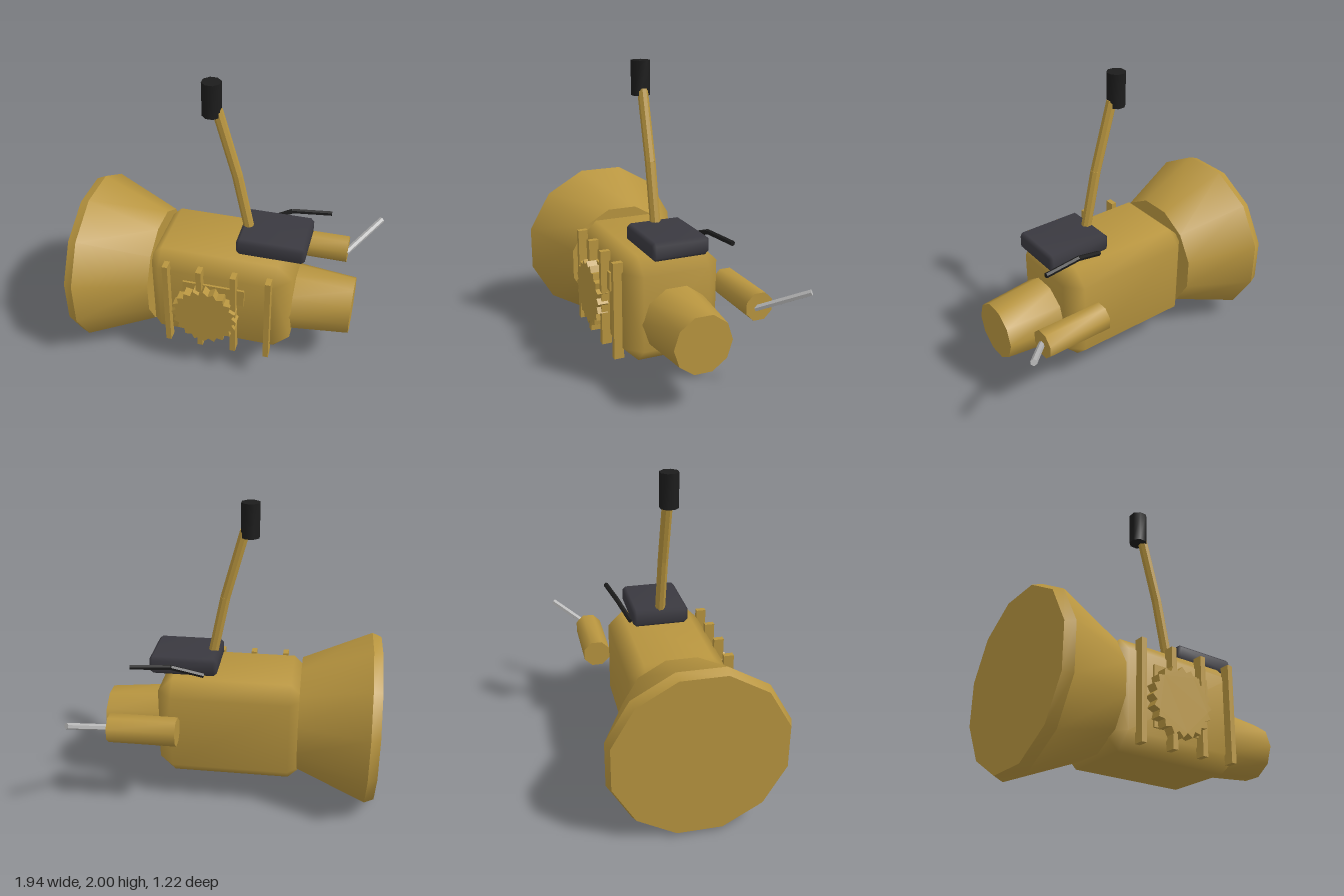
import * as THREE from 'three';
import { mergeVertices, toCreasedNormals } from 'three/addons/utils/BufferGeometryUtils.js';
import { ConvexGeometry } from 'three/addons/geometries/ConvexGeometry.js';

const material = (name, color) => new THREE.MeshStandardMaterial({ name, color });

export function createModel() {
  const group = new THREE.Group();
  const brass = material('brass', 0xb8953f);
  const charcoal = material('charcoal', 0x3a3940);
  const black = material('black', 0x1c1c1c);
  const steel = material('steel', 0xb4b4b4);
  const axisZ = 0.053; // centre line of the gearbox

  const add = (name, geometry, mat, x = 0, y = 0, z = 0) => {
    const mesh = new THREE.Mesh(geometry, mat);
    mesh.name = name;
    mesh.position.set(x, y, z);
    group.add(mesh);
    return mesh;
  };

  // Box with a 45 degree chamfer on every edge and softly blended normals
  const chamferBox = (w, h, d, c) => {
    const points = [];
    for (const sx of [-1, 1]) for (const sy of [-1, 1]) for (const sz of [-1, 1])
      for (let face = 0; face < 3; face++) {
        const cut = [c, c, c];
        cut[face] = 0;
        points.push(new THREE.Vector3(
          sx * (w / 2 - cut[0]), sy * (h / 2 - cut[1]), sz * (d / 2 - cut[2])));
      }
    const geometry = new ConvexGeometry(points);
    geometry.deleteAttribute('normal');
    const merged = mergeVertices(geometry);
    merged.computeVertexNormals();
    return merged;
  };

  // Closed turned part along x; profile rows are [x, radius]
  const turned = (profile, sides, phase, crease) => {
    const first = profile[0], last = profile[profile.length - 1];
    const points = [[first[0], 0], ...profile, [last[0], 0]]
      .map(([x, r]) => new THREE.Vector2(r, x));
    const geometry = new THREE.LatheGeometry(points, sides, phase, Math.PI * 2);
    geometry.rotateZ(-Math.PI / 2);
    return toCreasedNormals(geometry, crease);
  };

  // Straight rods joining a row of points
  const rods = (name, points, radius, sides, mat) => {
    for (let i = 0; i < points.length - 1; i++) {
      const a = new THREE.Vector3(...points[i]);
      const b = new THREE.Vector3(...points[i + 1]);
      const dir = b.clone().sub(a);
      const geometry = toCreasedNormals(
        new THREE.CylinderGeometry(radius, radius, dir.length(), sides, 1, false, Math.PI / sides), 0.5);
      const mesh = add(name, geometry, mat, ...a.add(b).multiplyScalar(0.5).toArray());
      mesh.quaternion.setFromUnitVectors(new THREE.Vector3(0, 1, 0), dir.normalize());
    }
  };

  // Main housing, bell and tail
  add('gearboxBody', chamferBox(0.97, 0.70, 0.64, 0.1), brass, -0.015, 0.53, 0.05);
  add('bellHousing', turned([[-0.97, 0.55], [-0.91, 0.575], [-0.46, 0.385]], 12, Math.PI / 12, 0.6),
    brass, 0, 0.557, axisZ);
  add('tailHousing', turned([[0.42, 0.23], [0.85, 0.191]], 10, 0, 0.7), brass, 0, 0.465, axisZ);

  // Ribs on the front
  for (const x of [-0.333, -0.11, 0.115, 0.34])
    add('rib', new THREE.BoxGeometry(0.036, 0.64, 0.065), brass, x, 0.53, 0.3925);

  // Gear cover and the mounting pads behind it
  add('coverPlate', new THREE.BoxGeometry(0.33, 0.39, 0.03), brass, -0.065, 0.525, 0.37);
  add('coverPad', new THREE.BoxGeometry(0.1, 0.125, 0.03), brass, 0.13, 0.6575, 0.37);
  const teeth = 20;
  const gear = new THREE.Shape();
  for (let i = 0; i < teeth * 2; i++) {
    const a = (i * Math.PI) / teeth;
    const r = i % 2 ? 0.19 : 0.22;
    gear[i ? 'lineTo' : 'moveTo'](r * Math.cos(a), r * Math.sin(a));
  }
  gear.closePath();
  add('gearCover', new THREE.ExtrudeGeometry(gear, { depth: 0.07, bevelEnabled: false }),
    brass, -0.073, 0.5, 0.383);

  // Shifter box, lever and knob
  add('shifterBox', chamferBox(0.445, 0.12, 0.375, 0.022), charcoal, 0.308, 0.945, 0.048);
  rods('shiftLever', [[0.145, 0.92, 0.05], [0.05, 1.375, 0.05], [-0.075, 1.82, 0.05]], 0.034, 8, brass);
  add('shiftKnob', toCreasedNormals(
    new THREE.CylinderGeometry(0.061, 0.061, 0.22, 8, 1, false, Math.PI / 8), 0.85),
    black, -0.108, 1.89, 0.05);

  // Cable behind the shifter box
  rods('cable', [[0.17, 0.9, -0.145], [0.37, 0.975, -0.205], [0.63, 0.977, -0.24]], 0.017, 6, black);

  // Side cylinder with its push rod
  add('sideCylinder', turned([[0.31, 0.095], [0.755, 0.095]], 8, Math.PI / 8, 0.85), brass, 0, 0.595, -0.366);
  rods('pushRod', [[0.745, 0.583, -0.345], [0.955, 0.727, -0.598]], 0.021, 6, steel);

  return group;
}
